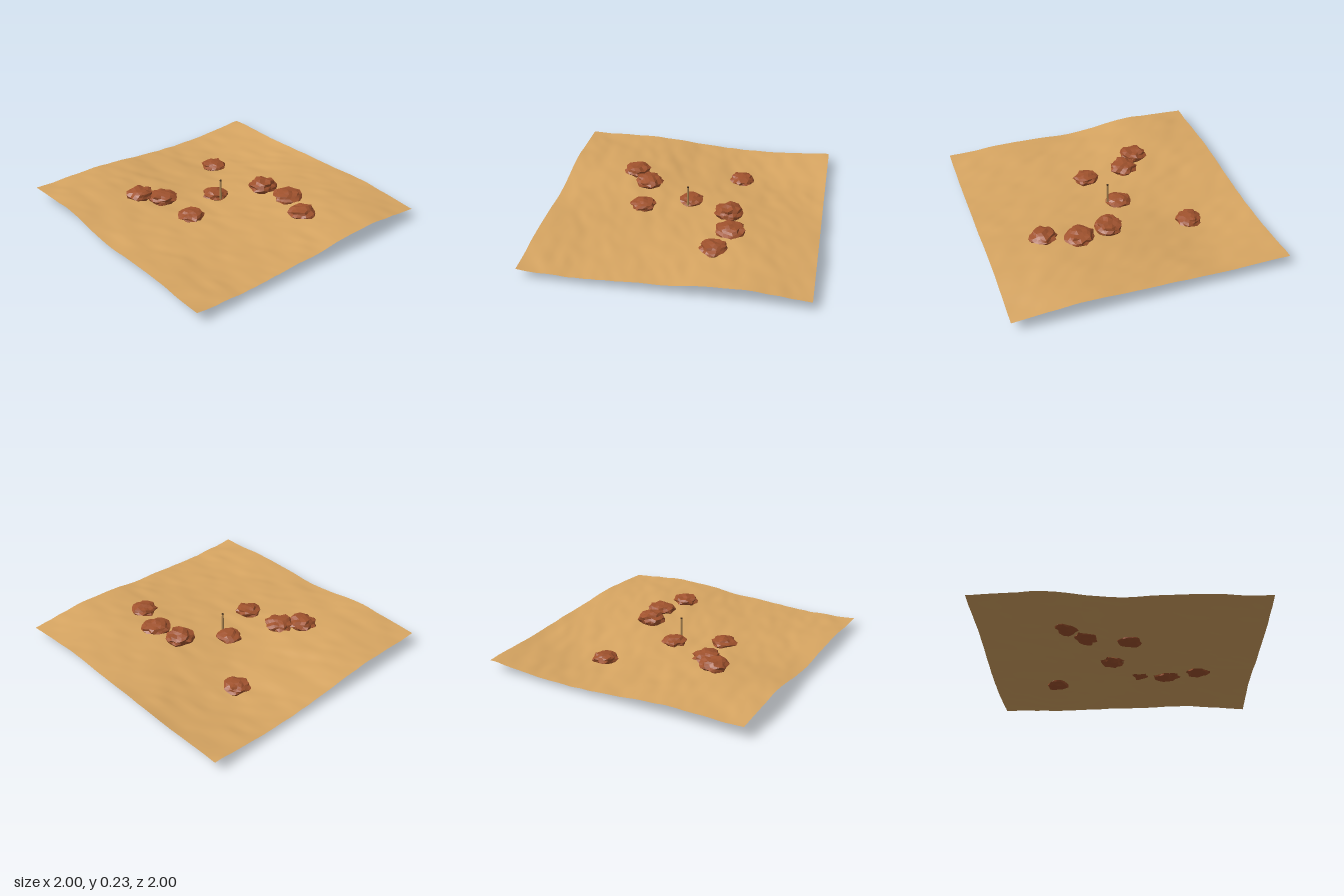
import * as THREE from 'three';

const sand = new THREE.MeshStandardMaterial({ color: 0xd8a662, side: THREE.DoubleSide });
sand.name = 'sand';
const rust = new THREE.MeshStandardMaterial({ color: 0xa0522d, flatShading: true });
rust.name = 'rustRock';
const wood = new THREE.MeshStandardMaterial({ color: 0xb88f58 });
wood.name = 'paleWood';
const dark = new THREE.MeshStandardMaterial({ color: 0x4a3320 });
dark.name = 'darkTip';

// Broad dune heights: rows run from back to front, columns from -x to +x
const DUNES = [
  [0.076, 0.068, 0.085, 0.100, 0.074],
  [0.035, 0.022, 0.083, 0.118, 0.110],
  [0.056, 0.052, 0.067, 0.082, 0.076],
  [0.090, 0.101, 0.075, 0.070, 0.052],
  [0.089, 0.115, 0.067, 0.086, 0.066],
];

const hash = (x, y, z = 0) => {
  const s = Math.sin(x * 127.1 + y * 311.7 + z * 74.7) * 43758.5453;
  return s - Math.floor(s);
};

function noise(x, y) {
  const i = Math.floor(x), j = Math.floor(y);
  const f = (t) => t * t * (3 - 2 * t);
  const u = f(x - i), v = f(y - j);
  const a = THREE.MathUtils.lerp(hash(i, j), hash(i + 1, j), u);
  const b = THREE.MathUtils.lerp(hash(i, j + 1), hash(i + 1, j + 1), u);
  return THREE.MathUtils.lerp(a, b, v) - 0.5;
}

function spline(p, t) {
  const i = Math.min(Math.floor(t), p.length - 2), f = t - i;
  const a = p[i], b = p[i + 1];
  const m0 = i > 0 ? (b - p[i - 1]) / 2 : b - a;
  const m1 = i < p.length - 2 ? (p[i + 2] - a) / 2 : b - a;
  return a + f * m0 + f * f * (3 * (b - a) - 2 * m0 - m1) + f * f * f * (2 * (a - b) + m0 + m1);
}

// Dunes plus small wind ripples
function groundHeight(x, z) {
  const broad = spline(DUNES.map((row) => spline(row, (x + 1) * 2)), (z + 1) * 2);
  return broad + 0.008 * noise(x * 5 + z * 2 + 9, z * 7 - x + 4) + 0.008 * noise(x * 9 + z * 5 + 31, z * 14 + 17);
}

function makeGround() {
  const geo = new THREE.PlaneGeometry(2, 2, 64, 64).rotateX(-Math.PI / 2);
  const p = geo.attributes.position;
  for (let i = 0; i < p.count; i++) p.setY(i, groundHeight(p.getX(i), p.getZ(i)));
  geo.computeVertexNormals();
  const mesh = new THREE.Mesh(geo, sand);
  mesh.name = 'sandGround';
  return mesh;
}

// Flattened, jagged boulder
function makeRock([x, y, z, radius, halfHeight], index) {
  const geo = new THREE.IcosahedronGeometry(1, 2);
  const p = geo.attributes.position, v = new THREE.Vector3();
  for (let i = 0; i < p.count; i++) {
    v.fromBufferAttribute(p, i);
    const q = v.toArray().map((c) => Math.round(c * 100) + index * 13);
    v.multiplyScalar(0.76 + 0.32 * hash(...q));
    p.setXYZ(i, v.x, v.y, v.z);
  }
  geo.scale(radius, halfHeight, radius);
  geo.rotateY(index * 1.3);
  geo.computeVertexNormals();
  const mesh = new THREE.Mesh(geo, rust);
  mesh.position.set(x, y, z);
  mesh.name = 'rock' + (index + 1);
  return mesh;
}

export function createModel() {
  const model = new THREE.Group();
  model.name = 'desertPatch';
  model.add(makeGround());

  // Boulders: x, y, z, radius, half height
  const rocks = [
    [-0.515, 0.041, -0.345, 0.098, 0.041],
    [0.11, 0.127, -0.325, 0.110, 0.051],
    [0.335, 0.119, -0.37, 0.112, 0.046],
    [0.58, 0.121, -0.285, 0.104, 0.042],
    [-0.08, 0.077, -0.015, 0.096, 0.040],
    [0.065, 0.085, 0.325, 0.100, 0.038],
    [-0.25, 0.108, 0.35, 0.110, 0.047],
    [-0.375, 0.121, 0.47, 0.108, 0.048],
  ];
  rocks.forEach((rock, i) => model.add(makeRock(rock, i)));

  // Slender marker post with a dark tip
  const post = new THREE.Mesh(new THREE.CylinderGeometry(0.007, 0.010, 0.164, 8), wood);
  post.position.y = 0.145;
  post.name = 'markerPost';
  const tip = new THREE.Mesh(new THREE.CylinderGeometry(0.007, 0.008, 0.008, 8), dark);
  tip.position.y = 0.231;
  tip.name = 'postTip';
  model.add(post, tip);

  // Rest the lowest point on y = 0
  model.position.y = -new THREE.Box3().setFromObject(model, true).min.y;
  return model;
}
